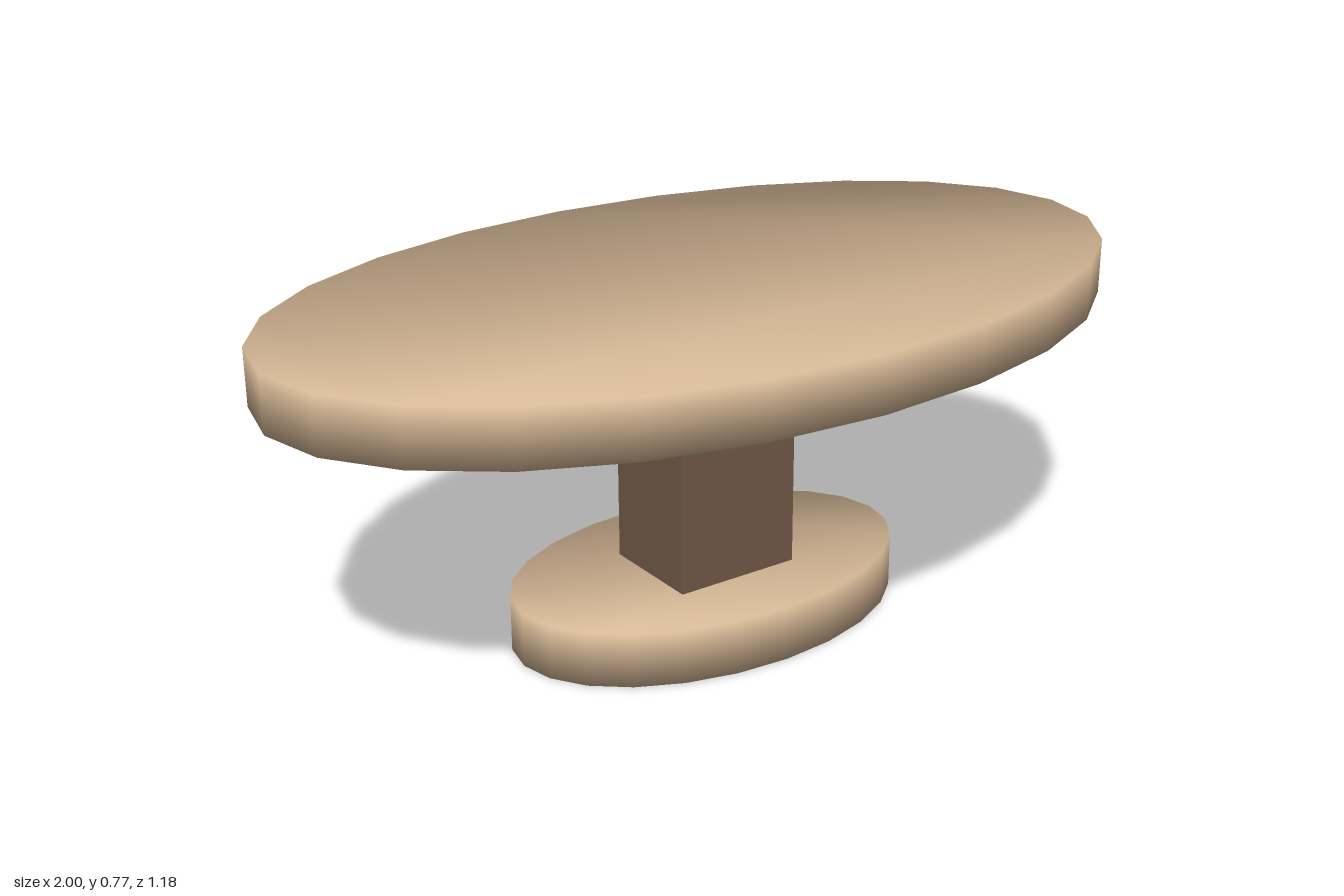
import * as THREE from 'three';

const SIDES = 24;

// Elliptical slab standing on y = 0, with softly shaded rims (normals lean outwards at 45 degrees)
function ellipseSlab(rx, rz, height) {
  const points = [];
  for (let i = 0; i < SIDES; i++) {
    const a = (i / SIDES) * Math.PI * 2;
    points.push(new THREE.Vector2(Math.cos(a) * rx, Math.sin(a) * rz));
  }
  const geometry = new THREE.ExtrudeGeometry(new THREE.Shape(points), { depth: height, bevelEnabled: false });
  geometry.rotateX(-Math.PI / 2);

  const position = geometry.attributes.position;
  const normal = geometry.attributes.normal;
  const n = new THREE.Vector3();
  for (let i = 0; i < position.count; i++) {
    n.set(position.getX(i) / (rx * rx), 0, position.getZ(i) / (rz * rz)).normalize();
    n.y = position.getY(i) > height / 2 ? 1 : -1;
    n.normalize();
    normal.setXYZ(i, n.x, n.y, n.z);
  }
  return geometry;
}

export function createModel() {
  const lightWood = new THREE.MeshStandardMaterial({ color: 0xd6b896 });
  lightWood.name = 'lightWood';
  const darkWood = new THREE.MeshStandardMaterial({ color: 0x725a48 });
  darkWood.name = 'darkWood';

  const table = new THREE.Group();
  table.name = 'table';
  const add = (name, geometry, material, y) => {
    const mesh = new THREE.Mesh(geometry, material);
    mesh.name = name;
    mesh.position.y = y;
    table.add(mesh);
  };

  const thickness = 0.123;
  const topY = 0.652;

  // Foot, square column and oval top
  add('base', ellipseSlab(0.47, 0.298, thickness), lightWood, 0);
  add('column', new THREE.BoxGeometry(0.294, topY - thickness, 0.244), darkWood, (topY + thickness) / 2);
  add('tableTop', ellipseSlab(1, 0.588, thickness), lightWood, topY);

  return table;
}
